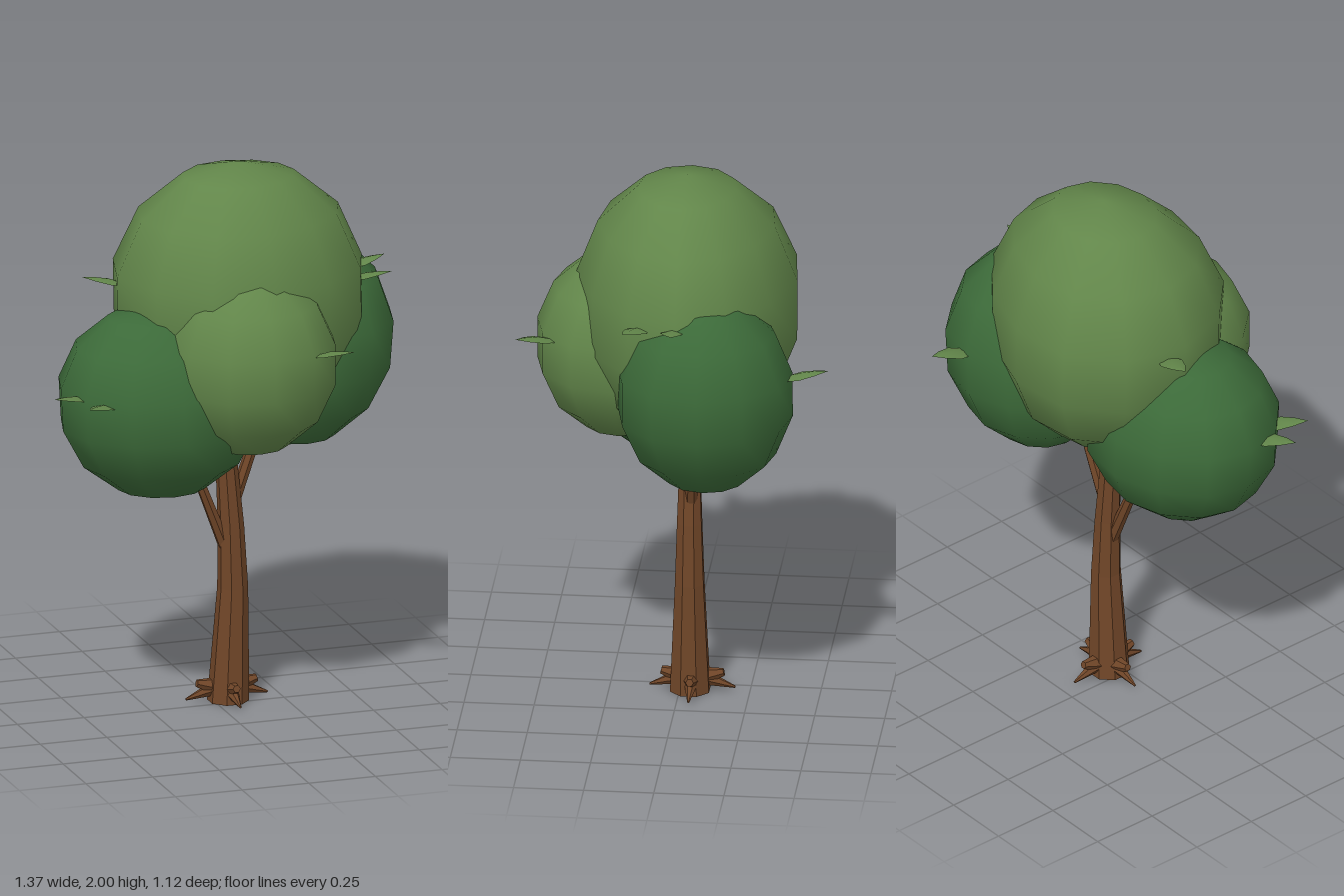
import * as THREE from 'three';
import { mergeVertices } from 'three/addons/utils/BufferGeometryUtils.js';

const V = (x, y, z) => new THREE.Vector3(x, y, z);

function material(name, color, options = {}) {
  const m = new THREE.MeshStandardMaterial({ color, ...options });
  m.name = name;
  return m;
}

function addMesh(parent, name, geometry, mat) {
  const mesh = new THREE.Mesh(geometry, mat);
  mesh.name = name;
  parent.add(mesh);
  return mesh;
}

// Smooth, slightly irregular ellipsoid; taper narrows its depth towards +x
function foliageGeometry(radii, taper, lean, phase) {
  let g = new THREE.SphereGeometry(1, 12, 7);
  g.deleteAttribute('uv');
  g.deleteAttribute('normal');
  g = mergeVertices(g, 1e-4);
  const p = g.attributes.position;
  for (let i = 0; i < p.count; i++) {
    const x = p.getX(i), y = p.getY(i), z = p.getZ(i);
    const bump = 1 + 0.018 * Math.sin(4 * x + 3 * z + phase) * (1 - y * y);
    p.setXYZ(i,
      x * radii[0] * bump + lean * y,
      y * radii[1],
      z * radii[2] * bump * (1 - taper * x));
  }
  g.computeVertexNormals();
  return g;
}

// Faceted tube through [x, y, z, radius] rings, optionally closed at the bottom
function limbGeometry(rings, sides) {
  const pos = [], index = [];
  rings.forEach(([x, y, z, r]) => {
    for (let i = 0; i < sides; i++) {
      const a = (i + 0.5) / sides * Math.PI * 2;
      pos.push(x + r * Math.sin(a), y, z + r * Math.cos(a));
    }
  });
  for (let k = 0; k < rings.length - 1; k++) {
    for (let i = 0; i < sides; i++) {
      const a = k * sides + i, b = k * sides + (i + 1) % sides;
      index.push(a, b, b + sides, a, b + sides, a + sides);
    }
  }
  const g = new THREE.BufferGeometry();
  g.setAttribute('position', new THREE.Float32BufferAttribute(pos, 3));
  g.setIndex(index);
  g.computeVertexNormals();
  return g;
}

// Tapered spike or branch between two points
function addSpike(parent, name, from, to, r0, r1, sides, mat) {
  const dir = to.clone().sub(from);
  const mesh = addMesh(parent, name, new THREE.CylinderGeometry(r1, r0, dir.length(), sides), mat);
  mesh.position.copy(from).addScaledVector(dir, 0.5);
  mesh.quaternion.setFromUnitVectors(V(0, 1, 0), dir.normalize());
}

// Pointed leaf with a raised midrib, from base to tip
function leafGeometry(base, tip) {
  const dir = tip.clone().sub(base);
  const side = V(-dir.z, 0, dir.x).normalize();
  const rows = [[0, 0.028, 0.004], [0.35, 0.043, 0.012], [0.7, 0.026, 0.008], [1, 0, 0]];
  const pos = [], index = [];
  rows.forEach(([t, w, h]) => {
    for (const s of [-1, 0, 1]) {
      const q = base.clone().addScaledVector(dir, t).addScaledVector(side, s * w);
      pos.push(q.x, q.y + (s === 0 ? h : 0), q.z);
    }
  });
  for (let k = 0; k < rows.length - 1; k++) {
    for (let j = 0; j < 2; j++) {
      const a = k * 3 + j;
      index.push(a, a + 4, a + 1, a, a + 3, a + 4);
    }
  }
  const g = new THREE.BufferGeometry();
  g.setAttribute('position', new THREE.Float32BufferAttribute(pos, 3));
  g.setIndex(index);
  g.computeVertexNormals();
  return g;
}

export function createModel() {
  const tree = new THREE.Group();
  tree.name = 'tree';
  const bark = material('bark brown', 0x704628, { flatShading: true });
  const wood = material('cut wood', 0x766040);
  const light = material('light green', 0x62864a, { side: THREE.DoubleSide });
  const dark = material('dark green', 0x3c6a39);

  // Trunk, gently bowed, with its cut underside
  addMesh(tree, 'trunk', limbGeometry([
    [0.053, 0, -0.037, 0.075],
    [0.07, 0.42, -0.037, 0.055],
    [0.063, 0.65, -0.036, 0.047],
    [0.04, 0.97, -0.035, 0.036],
    [0.035, 1.2, -0.035, 0.028],
  ], 8), bark);
  const cut = addMesh(tree, 'trunkBase', new THREE.CircleGeometry(0.075, 8, Math.PI / 8), wood);
  cut.rotation.x = Math.PI / 2;
  cut.position.set(0.053, 0, -0.037);

  // Branches reaching into the foliage
  addSpike(tree, 'rightBranch', V(0.045, 0.56, -0.035), V(-0.11, 0.95, -0.01), 0.024, 0.016, 6, bark);
  addSpike(tree, 'leftBranch', V(0.055, 0.68, -0.04), V(0.2, 1.06, -0.06), 0.024, 0.018, 6, bark);

  // Four roots, each with a smaller nub above
  const roots = new THREE.Group();
  roots.name = 'roots';
  roots.position.set(0.05, 0, -0.045);
  tree.add(roots);
  for (let i = 0; i < 4; i++) {
    const root = new THREE.Group();
    root.name = 'root';
    root.rotation.y = i * Math.PI / 2;
    roots.add(root);
    addSpike(root, 'rootSpike', V(0.05, 0.045, 0), V(0.153, 0.014, 0), 0.026, 0.004, 6, bark);
    addSpike(root, 'rootNub', V(0.05, 0.055, 0), V(0.112, 0.07, 0), 0.03, 0.014, 6, bark);
  }

  // Foliage masses: name, centre, radii, taper, lean, phase, colour
  [
    ['crownFoliage', [0.1, 1.5, -0.03], [0.47, 0.5, 0.405], 0.13, -0.01, 0, light],
    ['frontFoliage', [0.045, 1.335, 0.205], [0.325, 0.347, 0.315], -0.05, 0, 1, light],
    ['rightFoliage', [-0.25, 1.17, 0.065], [0.37, 0.352, 0.335], -0.06, -0.02, 2, dark],
    ['leftFoliage', [0.36, 1.285, -0.12], [0.325, 0.385, 0.32], -0.04, 0.03, 3, dark],
  ].forEach(([name, c, radii, taper, lean, phase, mat]) => {
    addMesh(tree, name, foliageGeometry(radii, taper, lean, phase), mat).position.set(...c);
  });

  // Loose leaves poking out: base, tip
  [
    [[-0.32, 1.565, -0.09], [-0.47, 1.6, -0.115]],
    [[-0.54, 1.23, 0.15], [-0.685, 1.262, 0.215]],
    [[-0.48, 1.22, 0.235], [-0.595, 1.252, 0.345]],
    [[0.39, 1.355, -0.41], [0.4, 1.397, -0.565]],
    [[0.5, 1.57, -0.02], [0.635, 1.602, -0.025]],
    [[0.47, 1.56, 0.09], [0.605, 1.592, 0.15]],
    [[0.225, 1.4, 0.44], [0.325, 1.438, 0.56]],
  ].forEach(([base, tip]) => addMesh(tree, 'leaf', leafGeometry(V(...base), V(...tip)), light));

  return tree;
}
